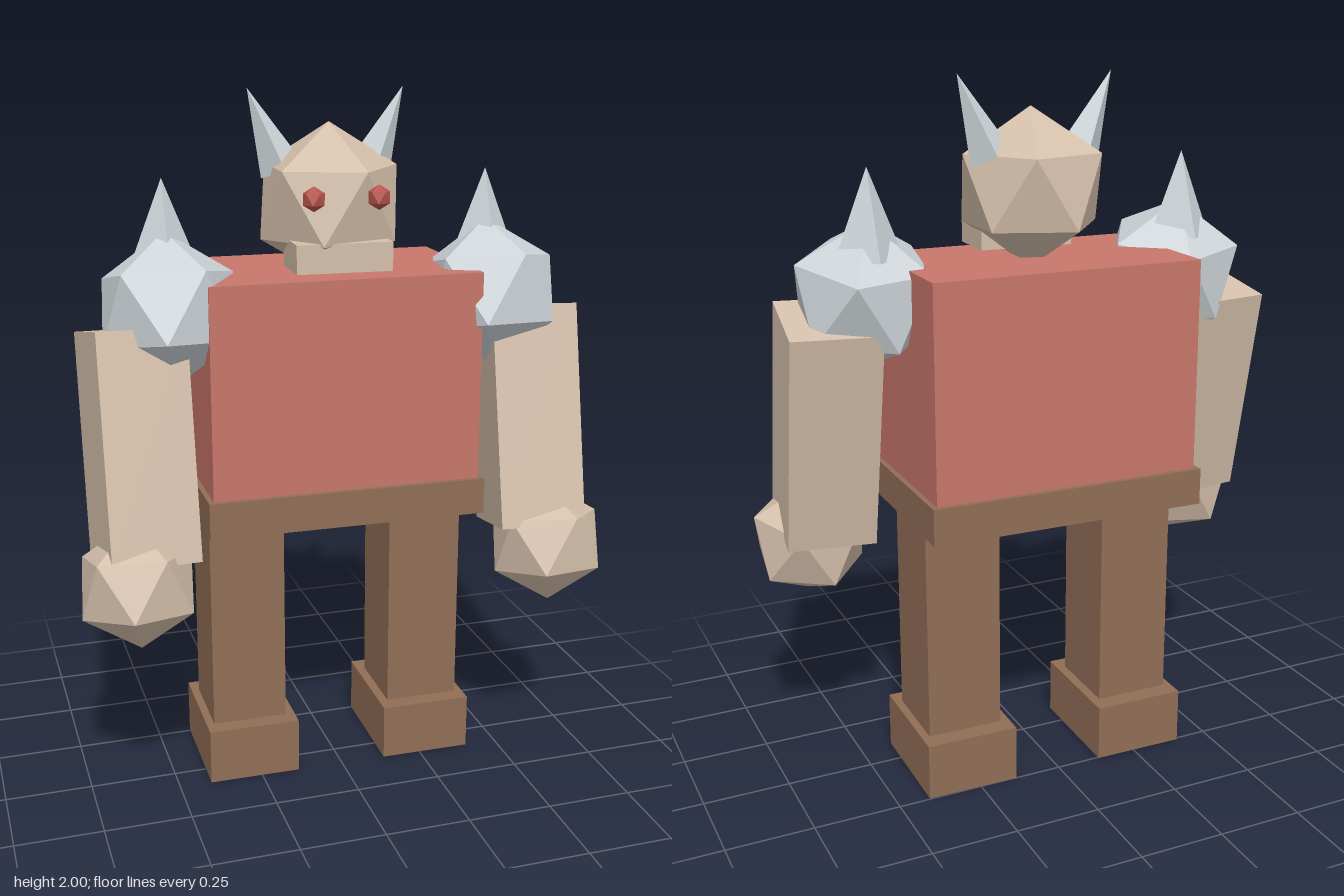
import * as THREE from 'three';
import { ConvexGeometry } from 'three/addons/geometries/ConvexGeometry.js';

function material(name, color) {
  const m = new THREE.MeshStandardMaterial({ color, flatShading: true });
  m.name = name;
  return m;
}

// Twenty-sided ball with one corner pointing straight up
function ballGeometry(radius) {
  const points = [new THREE.Vector3(0, radius, 0), new THREE.Vector3(0, -radius, 0)];
  const h = radius / Math.sqrt(5);
  for (let i = 0; i < 5; i++) {
    const a = (i * Math.PI * 2) / 5;
    const x = 2 * h * Math.cos(a);
    const z = 2 * h * Math.sin(a);
    points.push(new THREE.Vector3(x, h, z), new THREE.Vector3(-x, -h, z));
  }
  return new ConvexGeometry(points);
}

function add(parent, name, geometry, mat, x, y, z) {
  const mesh = new THREE.Mesh(geometry, mat);
  mesh.name = name;
  mesh.position.set(x, y, z);
  parent.add(mesh);
  return mesh;
}

const box = (w, h, d) => new THREE.BoxGeometry(w, h, d);

export function createModel() {
  const skin = material('skin', 0xd4bfaa);
  const tunic = material('tunic red', 0xc8766a);
  const leather = material('leather brown', 0x916e56);
  const metal = material('pale metal', 0xcdd4d8);
  const eyeRed = material('eye red', 0xb9534c);

  const model = new THREE.Group();
  model.name = 'brute';
  model.rotation.y = -0.013;

  // Body
  add(model, 'torso', box(0.78, 0.6, 0.47), tunic, 0, 1.205, -0.08);
  add(model, 'belt', box(0.81, 0.105, 0.5), leather, 0, 0.8525, -0.08);

  // Head, turned slightly to one side
  const head = new THREE.Group();
  head.name = 'head';
  head.position.set(0, 1.69, -0.05);
  head.rotation.y = -0.037;
  model.add(head);
  const skull = add(head, 'skull', ballGeometry(0.22), skin, 0, 0, 0);
  skull.scale.z = 1.03;
  add(head, 'jaw', box(0.27, 0.08, 0.16), skin, 0, -0.13, 0.105);

  for (const [side, label] of [[1, 'left'], [-1, 'right']]) {
    // Eye and horn
    add(head, label + 'Eye', ballGeometry(0.034), eyeRed, side * 0.09, 0.033, 0.197);
    const horn = add(head, label + 'Horn', new THREE.ConeGeometry(0.062, 0.24, 4), metal,
      side * 0.175, 0.2, -0.033);
    horn.rotation.z = -side * 0.4;

    // Arm, swung forward
    const arm = new THREE.Group();
    arm.name = label + 'Arm';
    model.add(arm);
    const swing = [
      add(arm, label + 'Shoulder', ballGeometry(0.213), metal, side * 0.47, 1.42, 0),
      add(arm, label + 'ArmBlock', box(0.25, 0.64, 0.27), skin, side * 0.578, 1.055, 0.05),
      add(arm, label + 'Fist', ballGeometry(0.178), skin, side * 0.61, 0.69, 0.16),
    ];
    for (const part of swing) part.rotation.set(-0.2, -side * 0.1, 0);
    add(arm, label + 'ShoulderSpike', new THREE.ConeGeometry(0.095, 0.24, 4), metal,
      side * 0.47, 1.65, -0.055);

    // Leg and foot
    add(model, label + 'Leg', box(0.22, 0.625, 0.235), leather, side * 0.272, 0.4725, -0.08);
    add(model, label + 'Foot', box(0.27, 0.165, 0.34), leather, side * 0.27, 0.0825, -0.082);
  }
  return model;
}
